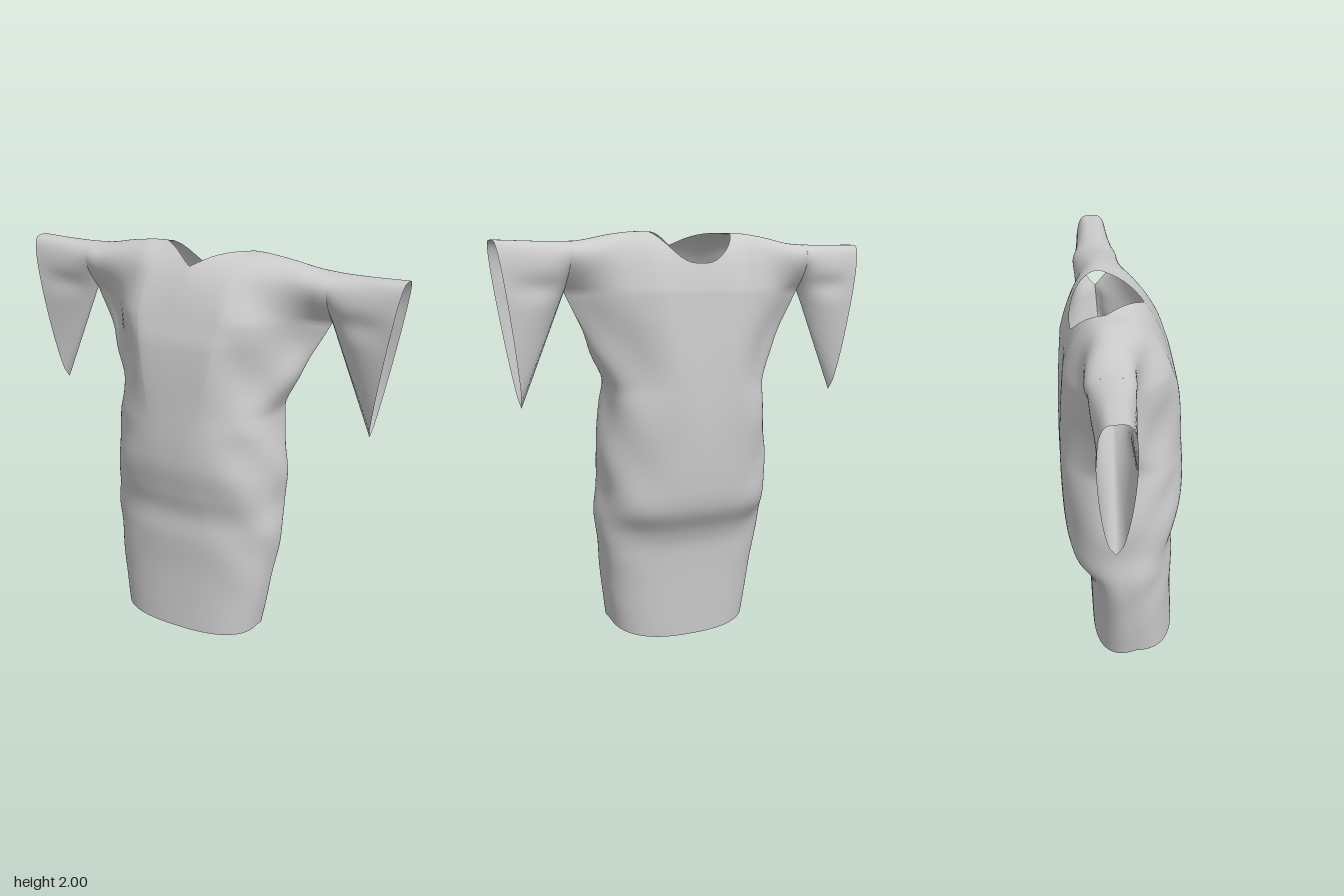
import * as THREE from 'three';
import { mergeVertices } from 'three/addons/utils/BufferGeometryUtils.js';

const ARM_X = 0.64, ARM_Y = 1.72, ARM_Z = -0.08, NECK = 0.22, HEM = 0.08;
const { lerp, clamp, smoothstep } = THREE.MathUtils;

// Smooth curve through [position, value] keys
function curve(keys) {
  const slope = (i) => {
    const a = keys[Math.max(i - 1, 0)], b = keys[Math.min(i + 1, keys.length - 1)];
    return (b[1] - a[1]) / (b[0] - a[0]);
  };
  return (p) => {
    let i = 0;
    while (i < keys.length - 2 && p > keys[i + 1][0]) i++;
    const [p0, v0] = keys[i], [p1, v1] = keys[i + 1], d = p1 - p0;
    const t = clamp((p - p0) / d, 0, 1), t2 = t * t, t3 = t2 * t;
    return v0 * (2 * t3 - 3 * t2 + 1) + v1 * (3 * t2 - 2 * t3)
      + d * (slope(i) * (t3 - 2 * t2 + t) + slope(i + 1) * (t3 - t2));
  };
}

// Profiles of the body by height, and of the shoulder line by distance from the middle
const halfWidth = curve([[0.08, 0.37], [0.3, 0.405], [0.62, 0.445], [0.78, 0.435], [0.95, 0.44],
  [1.2, 0.408], [1.28, 0.412], [1.45, 0.5], [1.72, ARM_X]]);
const frontZ = curve([[0.08, 0.275], [0.4, 0.26], [0.6, 0.262], [0.73, 0.254], [0.85, 0.278],
  [1.02, 0.304], [1.3, 0.29], [1.6, 0.258], [1.72, 0.22]]);
const backZ = curve([[0.08, -0.15], [0.45, -0.17], [0.55, -0.2], [0.66, -0.265], [0.78, -0.288],
  [1.05, -0.298], [1.35, -0.288], [1.72, -0.262]]);
const sideZ = curve([[0.08, 0.06], [0.6, 0], [1.2, -0.05], [1.72, ARM_Z]]);
const shoulderY = curve([[0, 2.035], [0.2, 2.003], [0.3, 2], [0.42, 1.985], [0.6, 1.953], [1, 1.953]]);

// Depth of one sheet of cloth at height y; u runs from -1 to 1 across it
function sheetZ(u, y, front) {
  const v = Math.min(Math.abs(u), 1);
  const oval = Math.pow(1 - Math.pow(v, 2.5), 0.4);
  const k = front ? 0.25 : 0.55;
  const bell = k * (1 - Math.pow(v, 4)) + (1 - k) * (1 - smoothstep(v, 0.3, 0.9));
  const z0 = sideZ(y);
  return z0 + ((front ? frontZ(y) : backZ(y)) - z0) * lerp(oval, bell, smoothstep(y, 1.17, 1.66));
}

// Soft slanting folds, and the hem that dips at the back
function drape(x, y, z) {
  const z0 = sideZ(y), ax = Math.abs(x);
  const sides = smoothstep(ax, 0.15, 0.38) * (1 - smoothstep(ax, 0.5, 0.62)) * smoothstep(y, 0.15, 0.6);
  const slant = sides * Math.sin(14 * (y - 1.4 * z));
  let fold = 0.035 * slant;
  if (z < z0) fold += 0.035 * (1 - Math.cos(15 * x)) * smoothstep(y, 0.9, 1.3) * (1 - smoothstep(ax, 0.3, 0.5));
  const dip = 0.08 * clamp((0.06 - z) / 0.21, 0, 1) * clamp(1 - (y - HEM) / 0.4, 0, 1);
  return [x * (1 + 0.012 * slant), y - dip, z0 + (z - z0) * (1 + fold)];
}

// Column positions, with exact columns at the corners of the neck
const columns = [];
for (let i = 0; i <= 72; i++) columns.push(ARM_X * Math.sin((i / 72 - 0.5) * Math.PI));
for (const x of [NECK, 0.217, 0.211]) columns.push(x, -x);
columns.sort((a, b) => a - b);

// Body: a front or back sheet from hem to armpit
function bodyPoint(i, j, front) {
  const y = lerp(HEM, ARM_Y, j / 80), u = columns[i] / ARM_X;
  return drape(u * halfWidth(y), y, sheetZ(u, y, front));
}

// Arch over the shoulder: leans inward from the body, then rounds over the top
const arch = (a) => Math.cos(a) - 0.33 * Math.sin(a) * (1 - Math.sin(a));

// Angle at which the arch has come in to the given share of its depth
function archAngle(share) {
  let low = 0, high = Math.PI / 2;
  for (let i = 0; i < 30; i++) {
    const mid = (low + high) / 2;
    if (arch(mid) > share) low = mid;
    else high = mid;
  }
  return high;
}

// Yoke: arches from the body over the shoulders, cut short at the neck
function yokePoint(i, j, front) {
  const x = columns[i], ax = Math.abs(x), n = Math.min(ax / NECK, 1);
  const depth = sheetZ(x / ARM_X, ARM_Y, front) - ARM_Z;
  let end = Math.PI / 2;
  if (n < 1) {
    const edge = front ? 0.19 * (1 - Math.pow(n, 1.2)) : -0.15 * Math.sqrt(1 - Math.pow(n, 2.5));
    end = archAngle(edge / depth);
  }
  const a = end * j / 20;
  const bulge = 0.1 * smoothstep(ax, 0.3, ARM_X) * Math.sin(2 * a) * (front ? 1 : -1);
  return drape(x, lerp(ARM_Y, shoulderY(ax), Math.sin(a)), ARM_Z + depth * arch(a) + bulge);
}

// Sleeve: teardrop sections that lengthen into a flat hanging point
function sleevePoint(i, j, side) {
  const t = i / 24, a = Math.PI * j / 48, s = Math.sin(a);
  const x = lerp(lerp(ARM_X, 0.855, t), lerp(ARM_X, 0.98, t), s);
  const y = lerp(lerp(ARM_Y, 1.195, t), shoulderY(lerp(ARM_X, 0.98, t)), s);
  const wave = Math.sin(2 * a);
  const crease = 1 - 0.2 * Math.sin(Math.PI * t) * Math.exp(-Math.pow((y - 1.74) / 0.05, 2));
  const width = lerp(0.1, 0.083, t) * Math.pow(Math.abs(wave), lerp(1, 0.5, t)) * crease;
  return drape(side * x, y, ARM_Z + Math.sign(wave) * width);
}

export function createModel() {
  const positions = [], index = [], parts = [];

  function grid(nu, nv, flip, point) {
    const base = positions.length / 3;
    for (let i = 0; i <= nu; i++) for (let j = 0; j <= nv; j++) positions.push(...point(i, j));
    for (let i = 0; i < nu; i++) for (let j = 0; j < nv; j++) {
      const a = base + i * (nv + 1) + j, b = a + nv + 1;
      if (flip) index.push(a, a + 1, b, b, a + 1, b + 1);
      else index.push(a, b, a + 1, b, b + 1, a + 1);
    }
  }
  function part(name, build) {
    const start = index.length;
    build();
    parts.push({ name, start, end: index.length });
  }

  const nc = columns.length - 1;
  for (const front of [true, false]) {
    const label = front ? 'Front' : 'Back';
    part('body' + label, () => grid(nc, 80, !front, (i, j) => bodyPoint(i, j, front)));
    part('yoke' + label, () => grid(nc, 20, !front, (i, j) => yokePoint(i, j, front)));
  }
  for (const side of [1, -1]) {
    part(side > 0 ? 'leftSleeve' : 'rightSleeve',
      () => grid(24, 48, side < 0, (i, j) => sleevePoint(i, j, side)));
  }

  // Weld all the cloth so that shading runs smoothly across the seams
  let cloth = new THREE.BufferGeometry();
  cloth.setAttribute('position', new THREE.Float32BufferAttribute(positions, 3));
  cloth.setIndex(index);
  cloth = mergeVertices(cloth, 1e-4);
  cloth.computeVertexNormals();

  const material = new THREE.MeshStandardMaterial({ color: 0xcccccc, side: THREE.DoubleSide });
  const group = new THREE.Group();
  group.name = 'dress';
  const welded = Array.from(cloth.index.array);
  for (const { name, start, end } of parts) {
    const piece = cloth.clone();
    piece.setIndex(welded.slice(start, end));
    const mesh = new THREE.Mesh(piece.toNonIndexed(), material);
    mesh.name = name;
    group.add(mesh);
  }
  return group;
}
